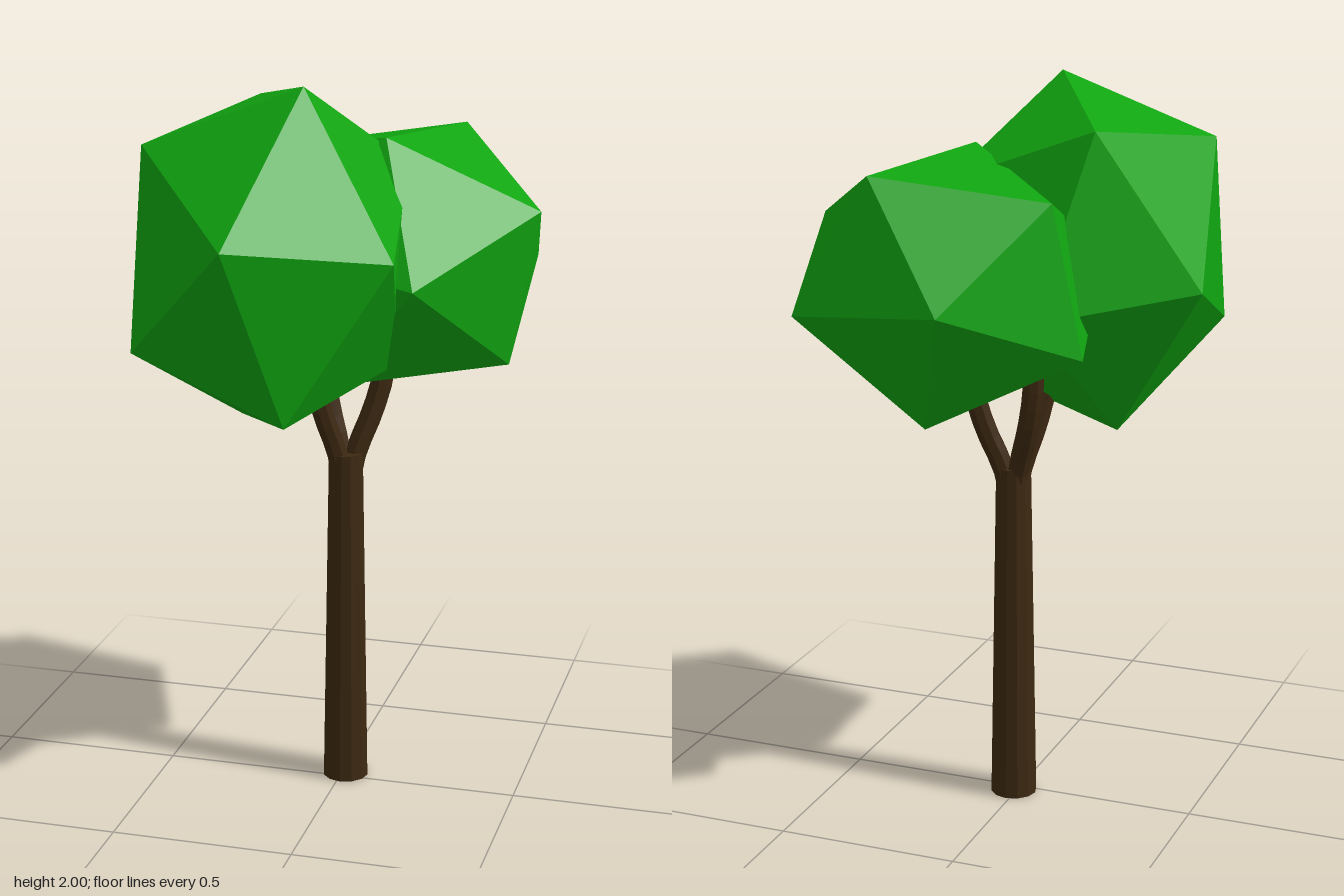
import * as THREE from 'three';
import { ConvexGeometry } from 'three/addons/geometries/ConvexGeometry.js';

const V = (x, y, z) => new THREE.Vector3(x, y, z);
const bark = new THREE.MeshStandardMaterial({ color: 0x3d2911, flatShading: true });
const leaves = new THREE.MeshStandardMaterial({ color: 0x10a510, flatShading: true });

function add(group, name, geometry, material) {
  const mesh = new THREE.Mesh(geometry, material);
  mesh.name = name;
  group.add(mesh);
  return mesh;
}

// A stretched icosahedron: a crown point, its ring of five, and their mirror points through the centre
function leafBall(centre, half) {
  const points = half.map((p) => V(...p));
  const opposite = points.map((p) => centre.clone().multiplyScalar(2).sub(p));
  return new ConvexGeometry([...points, ...opposite]);
}

export function createModel() {
  const tree = new THREE.Group();
  tree.name = 'tree';

  // Tapered trunk
  const trunk = add(tree, 'trunk', new THREE.CylinderGeometry(0.048, 0.064, 0.96, 12), bark);
  trunk.position.set(0.01, 0.48, -0.025);

  // Three branches leaving the trunk top and bending upwards
  const branches = {
    frontBranch: [-0.06, 0.035],
    sideBranch: [0.1, -0.08],
    backBranch: [-0.065, -0.08],
  };
  for (const [name, [x, z]] of Object.entries(branches)) {
    const at = (t, y) => V(0.01 + (x - 0.01) * t, y, -0.025 + (z + 0.025) * t);
    const path = new THREE.CatmullRomCurve3([at(0.15, 0.9), at(0.28, 0.96), at(0.72, 1.07), at(1, 1.17), at(1.1, 1.3)]);
    add(tree, name, new THREE.TubeGeometry(path, 8, 0.03, 8), bark);
  }

  // Two overlapping faceted leaf balls
  add(tree, 'frontFoliage', leafBall(V(-0.145, 1.535, 0.145), [
    [-0.03, 2.0, 0.24], [-0.45, 1.84, 0.28], [-0.15, 1.64, 0.58],
    [0.23, 1.58, 0.34], [0.16, 1.75, -0.11], [-0.26, 1.91, -0.15],
  ]), leaves);
  add(tree, 'backFoliage', leafBall(V(0.125, 1.49, -0.18), [
    [0.25, 1.81, -0.42], [0.52, 1.64, -0.1], [0.125, 1.835, 0],
    [-0.2, 1.75, -0.3], [0, 1.5, -0.58], [0.45, 1.44, -0.46],
  ]), leaves);

  return tree;
}
